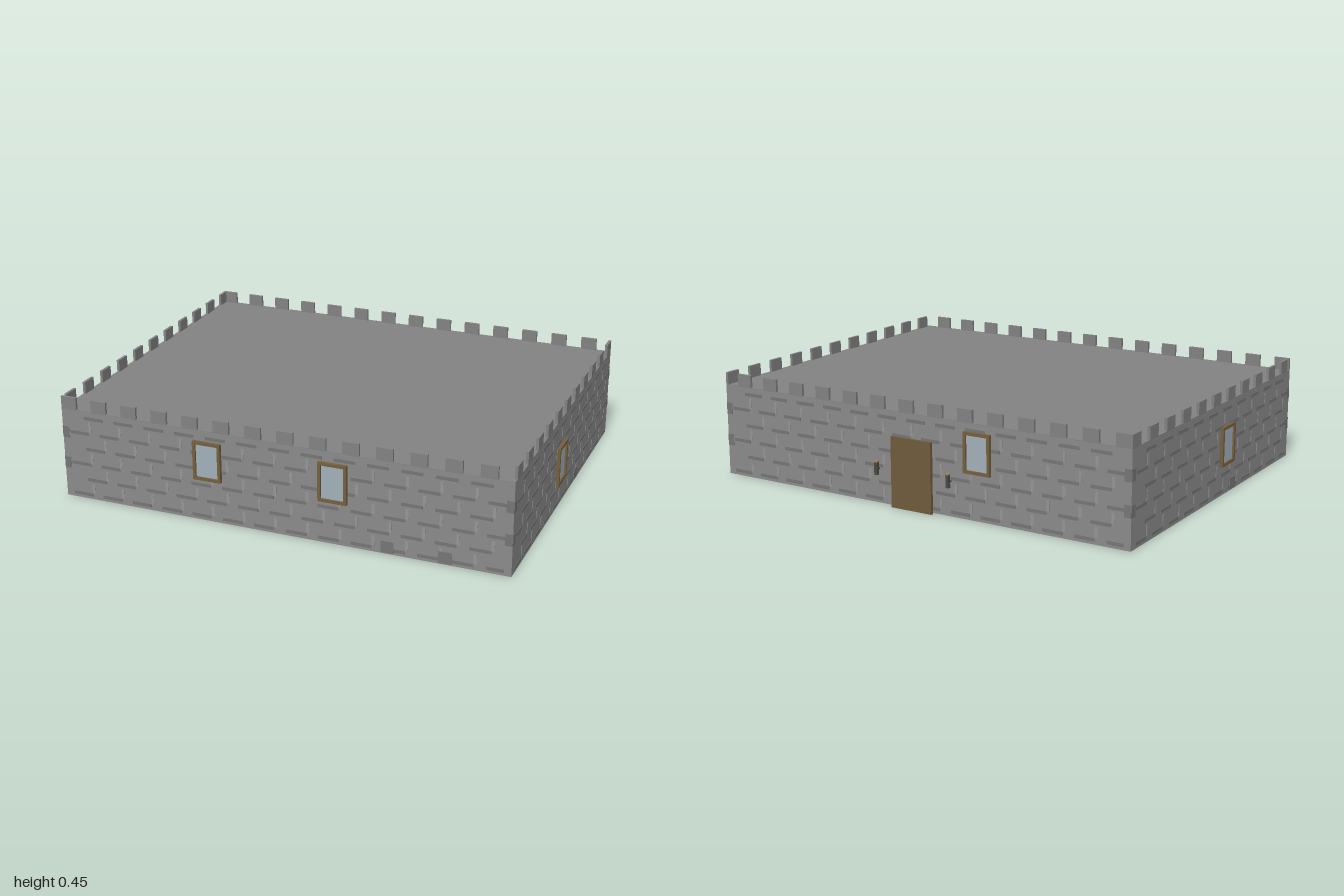
import * as THREE from 'three';
import { mergeGeometries } from 'three/addons/utils/BufferGeometryUtils.js';

const X = 0.985, Z = 0.77, H = 0.4;
const mat = (color) => new THREE.MeshStandardMaterial({ color });
const MATS = {
  stone: mat(0x8b8b8b), dark: mat(0x767676), light: mat(0x969696), roof: mat(0x828282),
  wood: mat(0x75603f), door: mat(0x6f5a3c), glass: mat(0xa2b0b9), iron: mat(0x4c4a44), gold: mat(0xa08a50),
};

// Box given by its min and max corners
function slab(x0, x1, y0, y1, z0, z1) {
  return new THREE.BoxGeometry(x1 - x0, y1 - y0, z1 - z0)
    .translate((x0 + x1) / 2, (y0 + y1) / 2, (z0 + z1) / 2);
}

function add(parent, name, geometry, material) {
  const mesh = new THREE.Mesh(geometry, material);
  mesh.name = name;
  parent.add(mesh);
  return mesh;
}

// Framed window on a wall; local z = 0 is the wall surface
function makeWindow(cx, y0) {
  const g = new THREE.Group();
  g.name = 'window';
  const w = 0.062, h = 0.17, b = 0.013;
  const frame = new THREE.Shape([[-w, 0], [w, 0], [w, h], [-w, h]].map(p => new THREE.Vector2(...p)));
  frame.holes.push(new THREE.Path([[-w + b, b], [-w + b, h - b], [w - b, h - b], [w - b, b]]
    .map(p => new THREE.Vector2(...p))));
  add(g, 'windowFrame', new THREE.ExtrudeGeometry(frame, { depth: 0.015, bevelEnabled: false }), MATS.wood);
  add(g, 'windowGlass', slab(-w + b, w - b, b, h - b, 0, 0.007), MATS.glass);
  g.position.set(cx, y0, 0);
  return g;
}

// One wall face: half = half its length, local +z points outward
function makeWall(name, half, stones, windows) {
  const g = new THREE.Group();
  g.name = name;
  const dark = [], light = [], relief = 0.0015;

  // Courses of stone: dark beds and pale upright joints, staggered row by row
  const pitch = 0.141;
  for (let row = 0; row < 6; row++) {
    const y = 0.012 + row * 0.07;
    const start = -half + 0.035 + (row % 2) * pitch / 2;
    for (let x = start; x < half - 0.04; x += pitch) {
      const x1 = Math.min(x + 0.09, half - 0.03);
      dark.push(slab(x, x1, y, y + 0.014, -0.002, relief));
      if (x1 + 0.012 < half - 0.03 && row < 5) {
        light.push(slab(x1, x1 + 0.012, y + 0.014, y + 0.058, -0.002, relief));
      }
    }
  }
  // Corner stones
  for (const s of [-1, 1]) for (const y of [0.13, 0.27]) {
    const a = s * half, b = s * (half - 0.03);
    dark.push(slab(Math.min(a, b), Math.max(a, b), y, y + 0.05, -0.002, relief));
  }
  // Loose dark stones near the ground
  for (const x of stones) dark.push(slab(x - 0.027, x + 0.027, 0.005, 0.055, -0.002, 0.003));
  add(g, 'darkStones', mergeGeometries(dark), MATS.dark);
  add(g, 'paleJoints', mergeGeometries(light), MATS.light);

  for (const [x, y] of windows) g.add(makeWindow(x, y));
  return g;
}

// Thin merlons along both long and both short edges
function makeBattlements() {
  const parts = [], t = 0.012, w = 0.07, top = H + 0.053;
  for (let i = 0; i < 15; i++) {
    const x0 = -X + i * 0.141, x1 = Math.min(x0 + w, X);
    if (x1 - x0 < 0.003) continue;
    parts.push(slab(x0, x1, H, top, Z - t, Z), slab(x0, x1, H, top, -Z, -Z + t));
  }
  for (let i = 0; i < 11; i++) {
    const z0 = -Z + i * 0.144, z1 = Math.min(z0 + w, Z);
    parts.push(slab(X - t, X, H, top, z0, z1), slab(-X, -X + t, H, top, z0, z1));
  }
  return mergeGeometries(parts);
}

export function createModel() {
  const model = new THREE.Group();
  model.name = 'stoneFort';

  // Body and roof
  add(model, 'walls', slab(-X, X, 0, H - 0.002, -Z, Z), MATS.stone);
  add(model, 'roof', slab(-X, X, H - 0.002, H, -Z, Z), MATS.roof);
  add(model, 'battlements', makeBattlements(), MATS.roof);

  // Wall faces
  const front = makeWall('frontWall', X, [0.475, 0.715], [[-0.307, 0.185], [0.245, 0.185]]);
  front.position.z = Z;
  const back = makeWall('backWall', X, [], [[0.307, 0.195]]);
  back.position.z = -Z;
  back.rotation.y = Math.PI;
  const left = makeWall('leftWall', Z, [0.2], [[-0.087, 0.115]]);
  left.position.x = X;
  left.rotation.y = Math.PI / 2;
  const right = makeWall('rightWall', Z, [0.16], [[0.085, 0.13]]);
  right.position.x = -X;
  right.rotation.y = -Math.PI / 2;
  model.add(front, back, left, right);

  // Door in the back wall
  const door = new THREE.Group();
  door.name = 'door';
  add(door, 'doorFrame', slab(-0.082, 0.088, 0, 0.29, 0, 0.014), MATS.wood);
  add(door, 'doorLeaf', slab(-0.095, 0.1, 0, 0.3, 0.014, 0.027), MATS.door);
  back.add(door);

  // Lanterns on each side of the door
  for (const x of [-0.172, 0.178]) {
    const lantern = new THREE.Group();
    lantern.name = 'lantern';
    add(lantern, 'lanternBody', slab(-0.007, 0.007, 0.125, 0.178, 0.014, 0.028), MATS.iron);
    add(lantern, 'lanternCap', slab(-0.007, 0.007, 0.178, 0.185, 0.014, 0.028), MATS.gold);
    add(lantern, 'lanternBracket', slab(-0.003, 0.003, 0.145, 0.151, 0, 0.016), MATS.iron);
    lantern.position.x = x;
    back.add(lantern);
  }
  return model;
}
